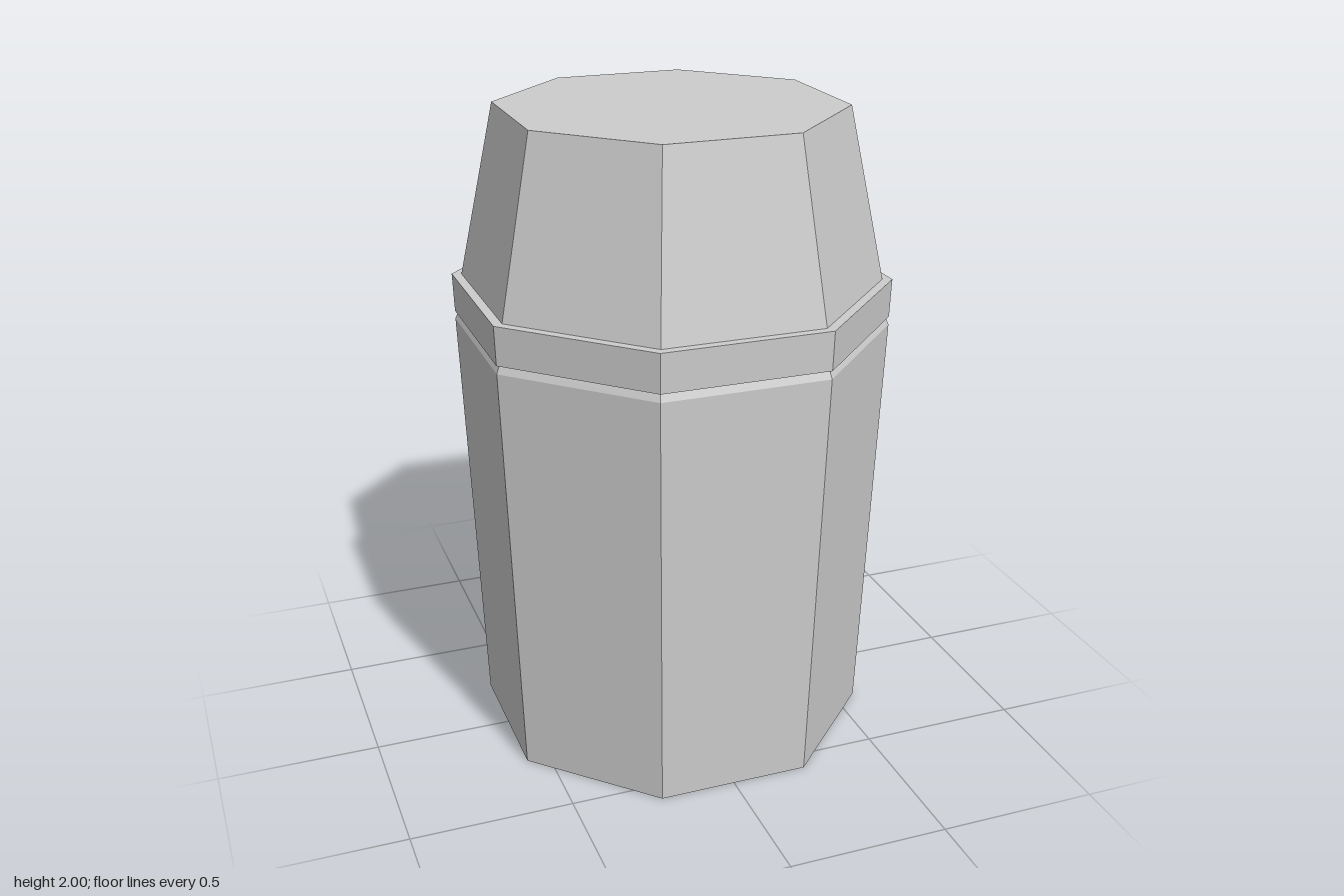
import * as THREE from 'three';

const SIDES = 8;

// Faceted ring part from [flat-to-centre distance, height] pairs, bottom to top
function facetedPart(name, profile, material) {
  const points = profile.map(([a, y]) => new THREE.Vector2(a / Math.cos(Math.PI / SIDES), y));
  const geometry = new THREE.LatheGeometry(points, SIDES, Math.PI / SIDES).toNonIndexed();
  geometry.computeVertexNormals();
  const mesh = new THREE.Mesh(geometry, material);
  mesh.name = name;
  return mesh;
}

export function createModel() {
  const grey = new THREE.MeshStandardMaterial({ color: 0xcccccc, flatShading: true });
  grey.name = 'light grey';

  const group = new THREE.Group();
  group.name = 'octagonalBin';

  // Tapered container with a chamfered top edge
  group.add(facetedPart('body', [[0, 0], [0.57, 0], [0.618, 1.325], [0.608, 1.35]], grey));

  // Collar overhanging the chamfer, with a flat ledge around the lid
  group.add(facetedPart('rim', [[0.608, 1.35], [0.618, 1.35], [0.622, 1.47], [0.59, 1.47]], grey));

  // Inward-sloping lid with a flat top
  group.add(facetedPart('lid', [[0.594, 1.47], [0.488, 2], [0, 2]], grey));

  return group;
}
